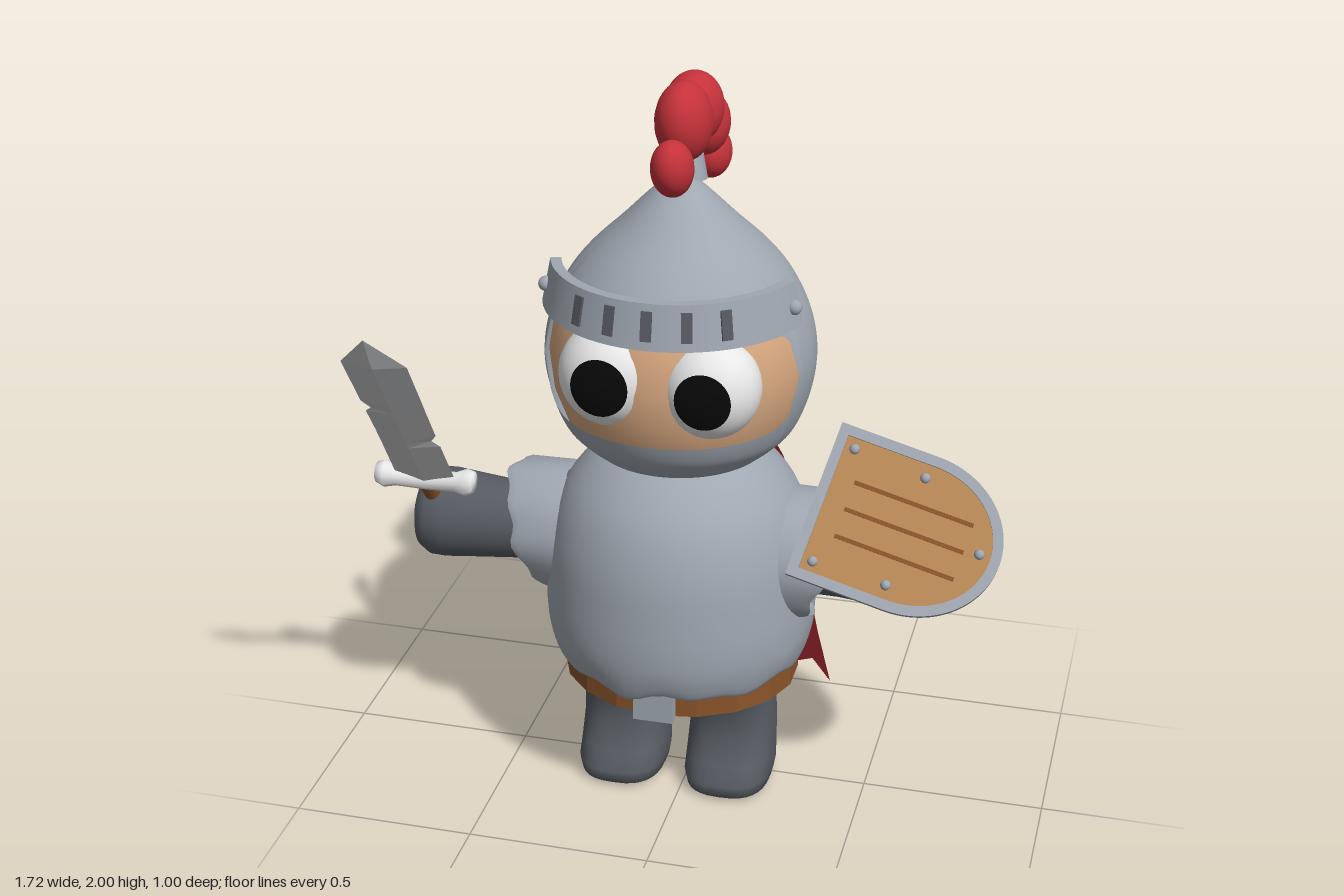
import * as THREE from 'three';
import { toCreasedNormals } from 'three/addons/utils/BufferGeometryUtils.js';

const mat = (name, color, side = THREE.FrontSide) =>
  Object.assign(new THREE.MeshStandardMaterial({ color, side }), { name });

// surface from a grid of points; u runs round (optionally closed), v runs along
function grid(nu, nv, fn, closed = false) {
  const pos = [], idx = [], cols = closed ? nu : nu + 1;
  for (let j = 0; j <= nv; j++) for (let i = 0; i < cols; i++) pos.push(...fn(i, j));
  for (let j = 0; j < nv; j++) for (let i = 0; i < nu; i++) {
    const a = j * cols + i, b = j * cols + (i + 1) % cols, c = a + cols, d = b + cols;
    idx.push(a, b, d, a, d, c);
  }
  const g = new THREE.BufferGeometry();
  g.setAttribute('position', new THREE.Float32BufferAttribute(pos, 3));
  g.setIndex(idx);
  g.computeVertexNormals();
  return g;
}
function flat(g) {
  const f = g.toNonIndexed();
  f.computeVertexNormals();
  return f;
}
const smoothProfile = (pts, n) =>
  new THREE.CatmullRomCurve3(pts.map(([r, y]) => new THREE.Vector3(r, y, 0))).getPoints(n);

export function createModel() {
  const steel = mat('steel', 0x9fa7b1, THREE.DoubleSide);
  const darkCloth = mat('darkCloth', 0x575b62);
  const red = mat('red', 0xc5323a, THREE.DoubleSide);
  const skin = mat('skin', 0xd8a880);
  const white = mat('white', 0xe8e8e8);
  const black = mat('black', 0x080808);
  const leather = mat('leather', 0x8a5429);
  const wood = mat('wood', 0xb78855);
  const blade = mat('bladeMetal', 0xc6c7c9);

  const model = new THREE.Group();
  const knight = new THREE.Group();
  knight.name = 'knight';
  knight.position.x = -0.03;
  model.add(knight);
  const add = (parent, name, geo, m, x = 0, y = 0, z = 0) => {
    const mesh = new THREE.Mesh(geo, m);
    mesh.name = name;
    mesh.position.set(x, y, z);
    parent.add(mesh);
    return mesh;
  };

  // torso with an uneven hem
  const torso = smoothProfile([[0.3, 0.42], [0.335, 0.405], [0.36, 0.46], [0.37, 0.53], [0.368, 0.64], [0.355, 0.77],
    [0.315, 0.89], [0.25, 0.975], [0.18, 1.03]], 28);
  add(knight, 'torso', grid(64, 28, (i, j) => {
    const a = i / 64 * Math.PI * 2, { x: r, y } = torso[j];
    const w = Math.max(0, 1 - (y - 0.4) / 0.12);
    const wob = w * 0.009 * (Math.sin(7 * a) + Math.sin(12 * a + 1));
    return [(r + wob * 0.5) * Math.sin(a), y + wob, 0.98 * r * Math.cos(a)];
  }, true), steel);

  // belt and buckle
  const belt = add(knight, 'belt', flat(new THREE.CylinderGeometry(0.327, 0.327, 0.085, 18)), leather, 0, 0.375, 0);
  belt.scale.z = 0.9;
  add(knight, 'buckle', new THREE.BoxGeometry(0.11, 0.095, 0.03), steel, 0, 0.373, 0.3);

  // hips and legs: rows of [y, half width, z centre, half depth]
  add(knight, 'hips', new THREE.SphereGeometry(1, 32, 20), darkCloth, 0, 0.37, 0.01).scale.set(0.24, 0.1, 0.17);
  const legRows = [[0.004, 0, 0.04, 0], [0.004, 0.095, 0.04, 0.12], [0.018, 0.116, 0.04, 0.145], [0.055, 0.123, 0.042, 0.148],
    [0.1, 0.122, 0.025, 0.13], [0.17, 0.119, 0.007, 0.117], [0.26, 0.116, 0.005, 0.118], [0.31, 0.11, 0.015, 0.14], [0.38, 0.1, 0.02, 0.17]];
  const soft = v => Math.sign(v) * Math.abs(v) ** 0.75;
  for (const s of [-1, 1])
    add(knight, s > 0 ? 'leftLeg' : 'rightLeg', grid(32, legRows.length - 1, (i, j) => {
      const a = i / 32 * Math.PI * 2, [y, rx, zc, rz] = legRows[j];
      return [rx * soft(Math.sin(a)), y, zc + rz * soft(Math.cos(a))];
    }, true), darkCloth, s * 0.153, 0, 0);

  // arms and ragged sleeves
  const armRows = [[0.28, 0.105], [0.45, 0.106], [0.58, 0.118], [0.66, 0.126], [0.705, 0.124], [0.735, 0.105], [0.748, 0.07], [0.75, 0]];
  const sleeveRows = [[-0.17, 0.18], [-0.02, 0.178], [0, 0.17], [-0.005, 0.15], [-0.02, 0.14], [-0.16, 0.13]];
  for (const s of [-1, 1]) {
    const arm = new THREE.Group();
    arm.name = s > 0 ? 'leftArm' : 'rightArm';
    arm.scale.x = s;
    knight.add(arm);
    add(arm, 'arm', grid(32, armRows.length - 1, (i, j) => {
      const a = i / 32 * Math.PI * 2, [d, r] = armRows[j];
      return [d, 0.72 + r * Math.cos(a), r * Math.sin(a)];
    }, true), darkCloth);
    add(arm, 'sleeve', toCreasedNormals(grid(48, sleeveRows.length - 1, (i, j) => {
      const a = i / 48 * Math.PI * 2, [d, r] = sleeveRows[j];
      const edge = 0.42 + 0.05 * Math.cos(a) + 0.007 * (Math.sin(9 * a) + Math.sin(5 * a));
      return [edge + d, 0.725 + r * Math.cos(a), r * Math.sin(a)];
    }, true), 0.7), steel);
  }

  // head inside the helmet
  const headPts = [[0.235, 1.025], [0.275, 1.06], [0.31, 1.1], [0.347, 1.2], [0.358, 1.3], [0.34, 1.4], [0.293, 1.5],
    [0.238, 1.57], [0.155, 1.65], [0.085, 1.72], [0.035, 1.765], [0, 1.785]];
  const profile = smoothProfile(headPts, 120);
  const radiusAt = y => {
    const k = profile.findIndex(p => p.y >= y);
    if (k <= 0) return k ? 0 : profile[0].x;
    const p = profile[k - 1], q = profile[k];
    return p.x + (q.x - p.x) * (y - p.y) / (q.y - p.y);
  };
  add(knight, 'face', new THREE.LatheGeometry([new THREE.Vector2(0, 1.02),
    ...headPts.slice(0, 8).map(([r, y]) => new THREE.Vector2(r * 0.965, y)), new THREE.Vector2(0, 1.6)], 64), skin);

  // helmet shell above and below a round-cornered face opening
  const shell = (from, to) => grid(100, 30, (i, j) => {
    const a = (i / 100 - 0.5) * Math.PI * 2, u = Math.min(1, Math.abs(a) / (0.4 * Math.PI));
    const half = 0.14 * (1 - u ** 9) ** (1 / 3);
    const y0 = from(half), y = y0 + (to(half) - y0) * j / 30, r = radiusAt(y);
    return [r * Math.sin(a), y, r * Math.cos(a)];
  }, true);
  add(knight, 'helmetTop', shell(h => 1.295 + h, () => 1.785), steel);
  add(knight, 'helmetBottom', shell(() => 1.025, h => 1.295 - h), steel);

  // visor band with closed ends, slits and bolts
  const band = [[0.337, 1.435], [0.36, 1.435], [0.336, 1.552], [0.308, 1.552], [0.337, 1.435]];
  add(knight, 'visor', toCreasedNormals(grid(42, 4, (i, j) => {
    const a = -1.28 + 2.56 * THREE.MathUtils.clamp((i - 1) / 40, 0, 1);
    const [r, y] = i === 0 || i === 42 ? [0.335, 1.493] : band[j];
    return [r * Math.sin(a), y, r * Math.cos(a)];
  }), 0.6), steel);
  for (let k = -2; k <= 2; k++) {
    const pivot = new THREE.Group();
    pivot.name = 'visorSlit';
    pivot.rotation.y = k * 0.29;
    knight.add(pivot);
    add(pivot, 'slit', new THREE.BoxGeometry(0.028, 0.076, 0.009), darkCloth, 0, 1.496, 0.349).rotation.x = -0.2;
  }
  for (const s of [-1, 1]) add(knight, 'visorBolt', new THREE.SphereGeometry(0.02, 14, 10), steel, s * 0.327, 1.49, 0.125);

  // bulging eyes with pupil caps
  for (const [x, y, r, turn] of [[-0.12, 1.318, 0.134, -0.02], [0.143, 1.308, 0.13, 0.02]]) {
    const eye = new THREE.Group();
    eye.name = 'eye';
    eye.position.set(x, y, 0.255);
    eye.rotation.y = turn;
    eye.scale.set(r, r * 1.04, 0.117);
    knight.add(eye);
    add(eye, 'eyeball', new THREE.SphereGeometry(1, 36, 24), white);
    add(eye, 'pupil', new THREE.SphereGeometry(1.03, 36, 8, 0, Math.PI * 2, 0, 0.575), black).rotation.x = Math.PI / 2;
  }

  // plume socket and plume
  add(knight, 'plumeSocket', new THREE.CylinderGeometry(0.042, 0.06, 0.09, 20), steel, 0, 1.795, -0.045).rotation.x = -0.1;
  for (const [y, z, r, w, tilt] of [[1.815, 0.085, 0.07, 0.055, 0.5], [1.9, -0.035, 0.1, 0.074, 0.3], [1.905, -0.14, 0.095, 0.078, 0],
    [1.825, -0.265, 0.086, 0.066, 0], [1.72, -0.335, 0.07, 0.055, 0]]) {
    const puff = add(knight, 'plumePuff', new THREE.SphereGeometry(1, 28, 18), red, 0, y, z);
    puff.scale.set(w, r * (1 + tilt * 0.25), r * (1 - tilt * 0.1));
    puff.rotation.x = tilt;
  }

  // cape: rows of [y, z at middle, z at edge, half width], ragged bottom
  const capeRows = [[0.975, -0.27, -0.18, 0.21], [0.9, -0.32, -0.215, 0.235], [0.8, -0.36, -0.255, 0.26], [0.68, -0.385, -0.28, 0.285],
    [0.5, -0.4, -0.265, 0.3], [0.3, -0.44, -0.3, 0.33], [0.11, -0.5, -0.345, 0.362]];
  add(knight, 'cape', flat(grid(12, capeRows.length - 1, (i, j) => {
    const s = 1 - i / 6, [y, zc, ze, w] = capeRows[j];
    const ragged = j === capeRows.length - 1 && i % 2 ? 0.05 : 0;
    return [s * w, y + ragged, zc + (ze - zc) * s * s + ragged * 0.3];
  })), red);

  // sword, leaning forward
  const sword = new THREE.Group();
  sword.name = 'sword';
  sword.position.set(-0.718, 0.875, 0.115);
  sword.rotation.x = 0.588;
  model.add(sword);
  const bladeRows = [[0, 0, 0], [0, 0.085, 0.085], [0.19, 0.083, 0.085], [0.215, 0.083, 0.066], [0.245, 0.083, 0.085], [0.34, 0.085, 0.086],
    [0.36, 0.066, 0.086], [0.39, 0.086, 0.087], [0.58, 0.089, 0.089], [0.69, 0, 0]];
  add(sword, 'blade', flat(grid(4, bladeRows.length - 1, (i, j) => {
    const [y, l, r] = bladeRows[j], t = l + r > 0 ? 0.016 : 0;
    return [[-l, y, 0], [0, y, t], [r, y, 0], [0, y, -t]][i];
  }, true)), blade);
  const guardPts = [[0, -0.142], [0.03, -0.138], [0.038, -0.115], [0.028, -0.085], [0.027, 0], [0.028, 0.085], [0.038, 0.115], [0.03, 0.138], [0, 0.142]];
  const guard = new THREE.LatheGeometry(guardPts.map(p => new THREE.Vector2(...p)), 16).rotateZ(-Math.PI / 2);
  const gp = guard.attributes.position;
  for (let i = 0; i < gp.count; i++) gp.setY(i, gp.getY(i) + gp.getX(i) ** 2 * 0.8 - 0.005);
  guard.computeVertexNormals();
  add(sword, 'guard', guard, white);
  add(sword, 'grip', new THREE.CylinderGeometry(0.024, 0.024, 0.2, 14), leather, 0, -0.1, 0);

  // shield, its own x along the length and z facing out
  const shield = new THREE.Group();
  shield.name = 'shield';
  const ax = new THREE.Vector3(0.49, -0.125, 0.02).normalize();
  const az = ax.clone().cross(new THREE.Vector3(0.105, 0.33, -0.25)).normalize();
  shield.quaternion.setFromRotationMatrix(new THREE.Matrix4().makeBasis(ax, az.clone().cross(ax), az));
  shield.position.set(0.352, 0.935, 0.085);
  model.add(shield);
  const outline = (inset, C = THREE.Shape) => {
    const h = 0.2135 - inset, s = new C();
    s.moveTo(inset, -h);
    s.lineTo(0.27, -h);
    s.absellipse(0.27, 0, 0.243 - inset, h, -Math.PI / 2, Math.PI / 2, false);
    s.lineTo(inset, h);
    s.closePath();
    return s;
  };
  const plate = (s, depth) => new THREE.ExtrudeGeometry(s, { depth, bevelEnabled: false, curveSegments: 28 });
  const rim = outline(0);
  rim.holes.push(outline(0.027, THREE.Path));
  add(shield, 'shieldRim', plate(rim, 0.04), steel, 0, 0, -0.02);
  add(shield, 'shieldBack', plate(outline(0.02), 0.022), steel, 0, 0, -0.019);
  add(shield, 'shieldBoard', plate(outline(0.027), 0.009), wood, 0, 0, 0.003);
  [[0.25, 0.075], [0.25, 0], [0.25, -0.075]].forEach(([x, y]) =>
    add(shield, 'boardGroove', new THREE.BoxGeometry(0.33, 0.011, 0.006), leather, x, y, 0.012));
  for (const [x, y] of [[0.055, 0.158], [0.055, -0.158], [0.255, 0.15], [0.255, -0.15], [0.455, 0.01]])
    add(shield, 'shieldRivet', new THREE.SphereGeometry(0.014, 12, 8), steel, x, y, 0.013);

  return model;
}
